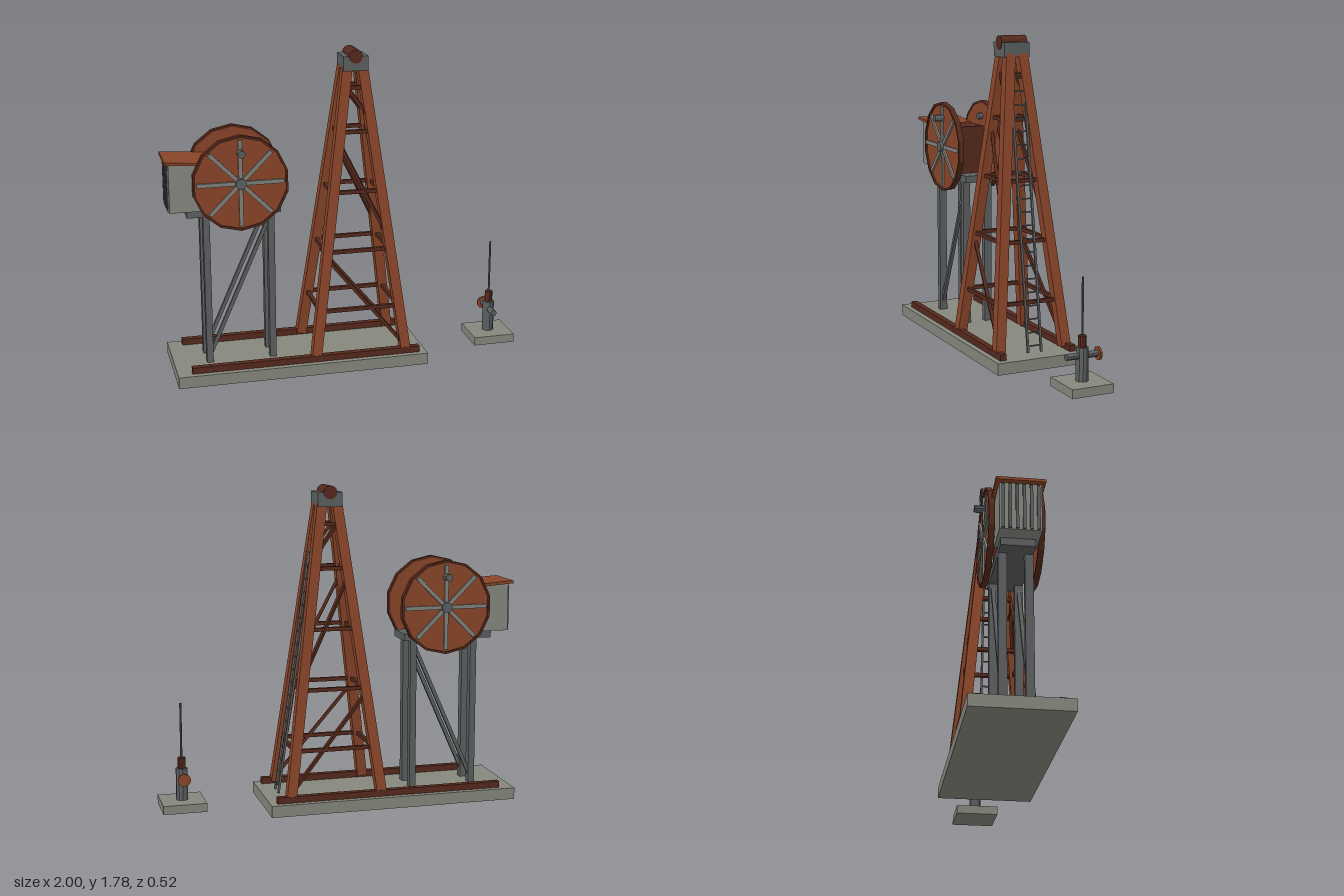
import * as THREE from 'three';

const mat = (color) => new THREE.MeshStandardMaterial({ color, flatShading: true });
const concrete = mat(0x85877c), steel = mat(0x5c5f60), pale = mat(0x80827d);
const rust = mat(0x8a4529), dark = mat(0x55291c), sheet = mat(0x858880);
const V = (x, y, z) => new THREE.Vector3(x, y, z);

export function createModel() {
  const model = new THREE.Group();
  const group = (name, parent = model) => {
    const g = new THREE.Group();
    g.name = name;
    parent.add(g);
    return g;
  };
  const add = (parent, name, geometry, material) => {
    const m = new THREE.Mesh(geometry, material);
    m.name = name;
    parent.add(m);
    return m;
  };
  // Box given by its extents
  const box = (parent, name, material, [x0, x1], [y0, y1], [z0, z1]) => {
    const m = add(parent, name, new THREE.BoxGeometry(x1 - x0, y1 - y0, z1 - z0), material);
    m.position.set((x0 + x1) / 2, (y0 + y1) / 2, (z0 + z1) / 2);
    return m;
  };
  // Square beam between two points
  const beam = (parent, name, material, a, b, w, d = w) => {
    const dir = b.clone().sub(a);
    const m = add(parent, name, new THREE.BoxGeometry(w, dir.length(), d), material);
    m.position.copy(a).add(b).multiplyScalar(0.5);
    m.quaternion.setFromUnitVectors(V(0, 1, 0), dir.normalize());
    return m;
  };
  // Cylinder along y or z
  const cyl = (parent, name, material, r, length, sides, pos, alongZ = false) => {
    const m = add(parent, name, new THREE.CylinderGeometry(r, r, length, sides), material);
    m.position.set(...pos);
    if (alongZ) m.rotation.x = Math.PI / 2;
    return m;
  };

  // Foundation and skids
  const foundation = group('foundation');
  box(foundation, 'mainSlab', concrete, [-0.98, 0.43], [0, 0.065], [-0.26, 0.26]);
  for (const s of [-1, 1])
    box(foundation, 'skid', dark, [-0.9, 0.39], [0.065, 0.1], [s * 0.21 - 0.018, s * 0.21 + 0.018]);

  // Derrick: corner(sx, sz, y) is the leg centre at a height
  const derrick = group('derrick');
  const cx = 0.053, yBottom = 0.08, yTop = 1.68;
  const corner = (sx, sz, y) => {
    const t = (y - yBottom) / (yTop - yBottom);
    return V(cx + sx * THREE.MathUtils.lerp(0.258, 0.043, t), y, sz * THREE.MathUtils.lerp(0.2, 0.037, t));
  };
  for (const sx of [-1, 1])
    for (const sz of [-1, 1])
      beam(derrick, 'derrickLeg', rust, corner(sx, sz, yBottom), corner(sx, sz, yTop), 0.055);
  for (const y of [0.34, 0.67, 1.0, 1.33, 1.57])
    for (const s of [-1, 1]) {
      beam(derrick, 'longGirt', dark, corner(-1, s, y), corner(1, s, y), 0.021);
      beam(derrick, 'crossGirt', dark, corner(s, -1, y), corner(s, 1, y), 0.021);
    }
  for (const [high, low] of [[0.64, 0.11], [1.28, 0.74], [1.59, 1.4]])
    for (const s of [-1, 1])
      beam(derrick, 'diagonalBrace', dark, corner(-1, s, high), corner(1, s, low), 0.018);

  // Crown block and its roller
  box(derrick, 'crownBlock', steel, [-0.016, 0.123], [1.665, 1.745], [-0.075, 0.075]);
  cyl(derrick, 'crownRoller', dark, 0.038, 0.155, 12, [cx, 1.743, 0], true);

  // Ladder on the +x side
  const ladder = group('ladder');
  const ladderPoint = (t, z) => V(0.345 - 0.225 * t, 0.075 + 1.515 * t, z);
  for (const s of [-1, 1])
    beam(ladder, 'ladderRail', steel, ladderPoint(0, s * 0.04), ladderPoint(1, s * 0.04), 0.012);
  const rungs = 21;
  for (let i = 0; i < rungs; i++) {
    const t = (i + 0.5) / rungs;
    beam(ladder, 'ladderRung', steel, ladderPoint(t, -0.04), ladderPoint(t, 0.04), 0.007);
  }

  // Platform on four posts
  const stand = group('platform');
  box(stand, 'deck', steel, [-0.885, -0.37], [0.91, 0.95], [-0.09, 0.09]);
  for (const s of [-1, 1]) {
    for (const x of [-0.781, -0.425])
      box(stand, 'post', steel, [x - 0.018, x + 0.018], [0.06, 0.92], [s * 0.068 - 0.022, s * 0.068 + 0.022]);
    beam(stand, 'postBrace', steel, V(-0.78, 0.1, s * 0.068), V(-0.425, 0.9, s * 0.068), 0.02);
  }

  // Gearbox and the two flywheels
  const drive = group('drive');
  const wx = -0.597, wy = 1.1;
  box(drive, 'gearbox', dark, [-0.715, -0.48], [0.95, 1.225], [-0.075, 0.075]);
  cyl(drive, 'axle', steel, 0.03, 0.325, 12, [wx, wy, 0], true);
  for (const s of [-1, 1]) {
    const wheel = group('flywheel', drive);
    cyl(wheel, 'wheelDisc', rust, 0.262, 0.02, 14, [wx, wy, s * 0.125], true);
    // Slightly raised rim around the disc
    const ring = new THREE.Shape();
    const hole = new THREE.Path();
    for (let i = 0; i < 14; i++) {
      const a = (i / 14) * Math.PI * 2 + Math.PI / 2;
      const c = Math.cos(a), n = Math.sin(a);
      ring[i ? 'lineTo' : 'moveTo'](c * 0.264, n * 0.264);
      hole[i ? 'lineTo' : 'moveTo'](c * 0.252, n * 0.252);
    }
    ring.holes.push(hole);
    const rim = add(wheel, 'wheelRim', new THREE.ExtrudeGeometry(ring, { depth: 0.032, bevelEnabled: false }), dark);
    rim.position.set(wx, wy, s * 0.129 - 0.016);
    for (let i = 0; i < 4; i++) {
      const spoke = add(wheel, 'spokePair', new THREE.BoxGeometry(0.475, 0.022, 0.014), pale);
      spoke.position.set(wx, wy, s * 0.139);
      spoke.rotation.z = (i * Math.PI) / 4;
    }
    cyl(wheel, 'crankPin', steel, 0.02, 0.1, 10, [wx, 1.27, s * 0.14], true);
  }

  // Engine house with ribbed end and pitched lid
  const house = group('engineHouse');
  box(house, 'houseBody', sheet, [-0.978, -0.775], [0.95, 1.213], [-0.108, 0.108]);
  for (let i = 0; i < 6; i++) {
    const z = -0.09 + i * 0.036;
    box(house, 'houseRib', steel, [-0.987, -0.977], [0.955, 1.205], [z - 0.008, z + 0.008]);
  }
  const lid = box(house, 'houseRoof', rust, [-1, -0.755], [1.211, 1.227], [-0.128, 0.128]);
  lid.rotation.z = -0.07;

  // Separate wellhead on its own slab
  const well = group('wellhead');
  const hx = 0.88;
  box(well, 'wellSlab', concrete, [0.76, 1], [0.02, 0.068], [-0.118, 0.118]);
  cyl(well, 'casing', steel, 0.033, 0.18, 10, [hx, 0.155, 0]);
  cyl(well, 'stuffingBox', dark, 0.022, 0.065, 10, [hx, 0.273, 0]);
  cyl(well, 'polishedRod', steel, 0.006, 0.32, 8, [hx, 0.45, 0]);
  cyl(well, 'crossPipe', steel, 0.018, 0.19, 10, [hx, 0.2, 0], true);
  cyl(well, 'valveWheel', rust, 0.036, 0.012, 10, [hx, 0.2, -0.093], true);

  return model;
}
